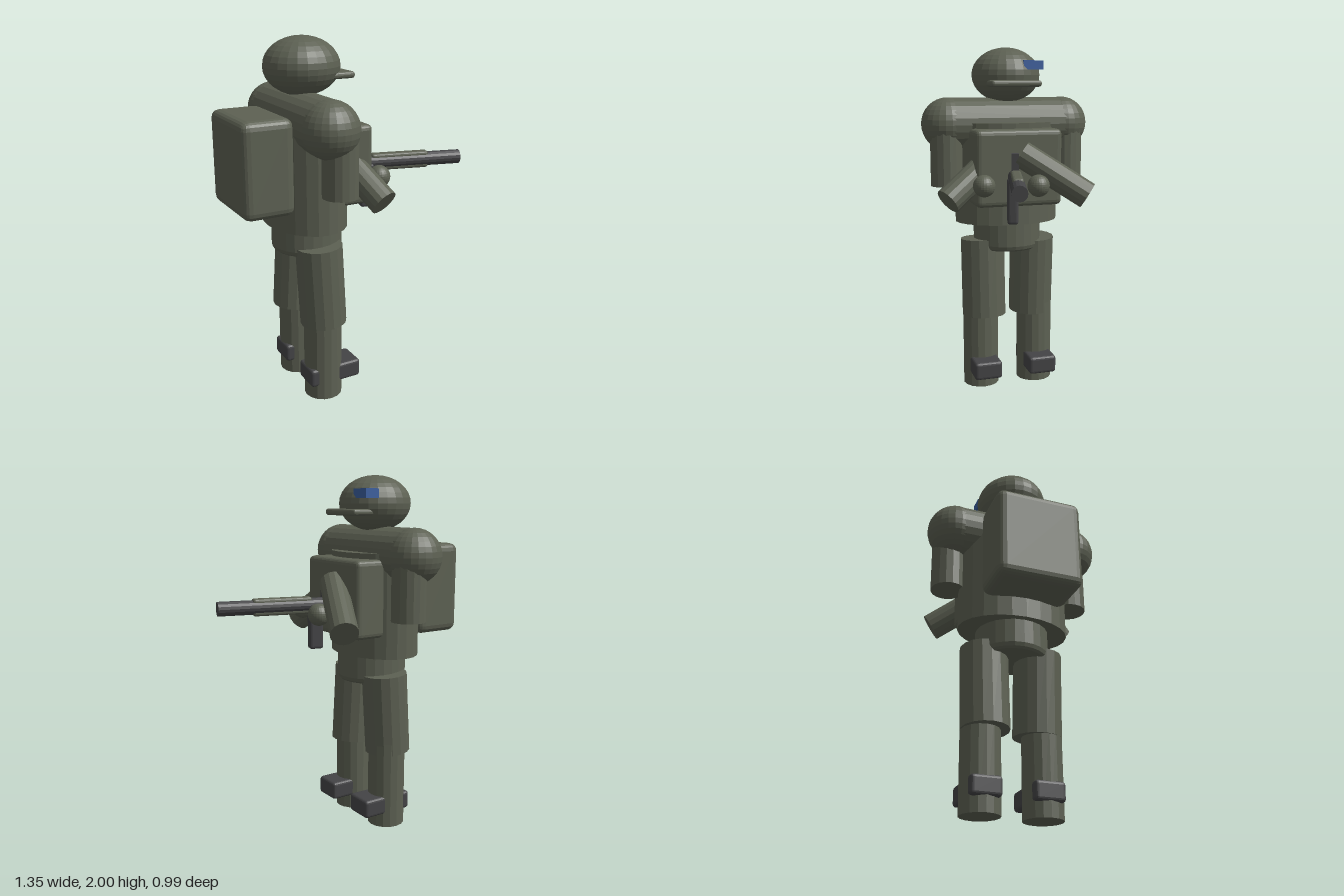
import * as THREE from 'three';
import { RoundedBoxGeometry } from 'three/addons/geometries/RoundedBoxGeometry.js';

const flat = (name, color) => {
  const m = new THREE.MeshStandardMaterial({ color, flatShading: true });
  m.name = name;
  return m;
};

export function createModel() {
  const green = flat('olive green', 0x5d6153);
  const dark = flat('dark grey', 0x444446);
  const blue = flat('blue', 0x3a5f9f);
  const model = new THREE.Group();
  model.name = 'soldier';

  const add = (name, geometry, material, x, y, z, parent = model) => {
    const mesh = new THREE.Mesh(geometry, material);
    mesh.name = name;
    mesh.position.set(x, y, z);
    parent.add(mesh);
    return mesh;
  };
  const ball = (r) => new THREE.SphereGeometry(r, 24, 16);
  const block = (w, h, d, r) => new RoundedBoxGeometry(w, h, d, 2, r);
  // Cylinder running between two points
  const limb = (name, a, b, r, material = green, parent = model, sides = 16) => {
    const from = new THREE.Vector3(...a), to = new THREE.Vector3(...b);
    const dir = to.clone().sub(from);
    const mid = from.clone().add(to).multiplyScalar(0.5);
    const mesh = add(name, new THREE.CylinderGeometry(r, r, dir.length(), sides), material, mid.x, mid.y, mid.z, parent);
    mesh.quaternion.setFromUnitVectors(new THREE.Vector3(0, 1, 0), dir.normalize());
    return mesh;
  };

  // Head: helmet, brim and side badge
  add('helmet', ball(1), green, -0.24, 1.845, 0).scale.set(0.207, 0.155, 0.196);
  add('brim', block(0.15, 0.036, 0.29, 0.016), green, -0.07, 1.798, 0);
  add('badge', new THREE.BoxGeometry(0.085, 0.05, 0.115), blue, -0.0975, 1.9, -0.1125);

  // Trunk
  add('torso', new THREE.CylinderGeometry(1, 1, 0.58, 24), green, -0.24, 1.29, 0).scale.set(0.217, 1, 0.305);
  const pelvis = [[0, 0.84], [0.178, 0.84], [0.19, 0.85], [0.197, 0.87], [0.197, 1.02], [0, 1.02]];
  add('pelvis', new THREE.LatheGeometry(pelvis.map(([r, y]) => new THREE.Vector2(r, y)), 24), green, -0.225, 0, 0);
  add('vest', block(0.26, 0.43, 0.5, 0.03), green, -0.075, 1.335, 0);
  add('backpack', block(0.285, 0.51, 0.47, 0.045), green, -0.5325, 1.365, 0);
  limb('shoulderBar', [-0.25, 1.568, -0.345], [-0.25, 1.568, 0.345], 0.15, green, model, 24);

  // Matching limbs on both sides
  for (const s of [1, -1]) {
    const side = s > 0 ? 'right' : 'left';
    add(side + 'Shoulder', ball(0.152), green, -0.25, 1.568, s * 0.343);
    limb(side + 'UpperArm', [-0.205, 1.22, s * 0.36], [-0.205, 1.6, s * 0.36], 0.095);
    const [top, bottom] = s > 0 ? [-0.225, -0.2] : [-0.205, -0.235];
    limb(side + 'Thigh', [bottom, 0.435, s * 0.15], [top, 0.895, s * 0.15], 0.13);
    limb(side + 'Shin', [-0.215, 0, s * 0.168], [-0.215, 0.5, s * 0.168], 0.106);
    add(side + 'Boot', block(0.31, 0.105, 0.165, 0.018), dark, -0.17, 0.1325, s * 0.167);
  }

  // Bent forearms and hands
  limb('rightForearm', [-0.09, 1.405, 0.09], [0.03, 1.165, 0.405], 0.077);
  limb('leftForearm', [0.05, 1.415, -0.01], [0.2, 1.19, -0.345], 0.077);
  add('rightHand', ball(0.061), green, 0.11, 1.254, 0.22);
  add('leftHand', ball(0.061), green, 0.18, 1.254, -0.067);

  // Rifle, built along its own x axis and turned outward
  const rifle = new THREE.Group();
  rifle.name = 'rifle';
  rifle.position.set(0.316, 1.292, 0.097);
  rifle.rotation.y = -0.25;
  model.add(rifle);
  limb('barrel', [-0.265, 0, 0], [0.358, 0, 0], 0.04, dark, rifle);
  add('receiver', block(0.335, 0.095, 0.058, 0.015), green, 0, 0, 0, rifle);
  add('magazine', block(0.08, 0.25, 0.06, 0.015), dark, -0.196, -0.127, 0.015, rifle);
  add('rearSight', new THREE.BoxGeometry(0.04, 0.13, 0.04), dark, -0.25, 0.065, 0, rifle);

  return model;
}
